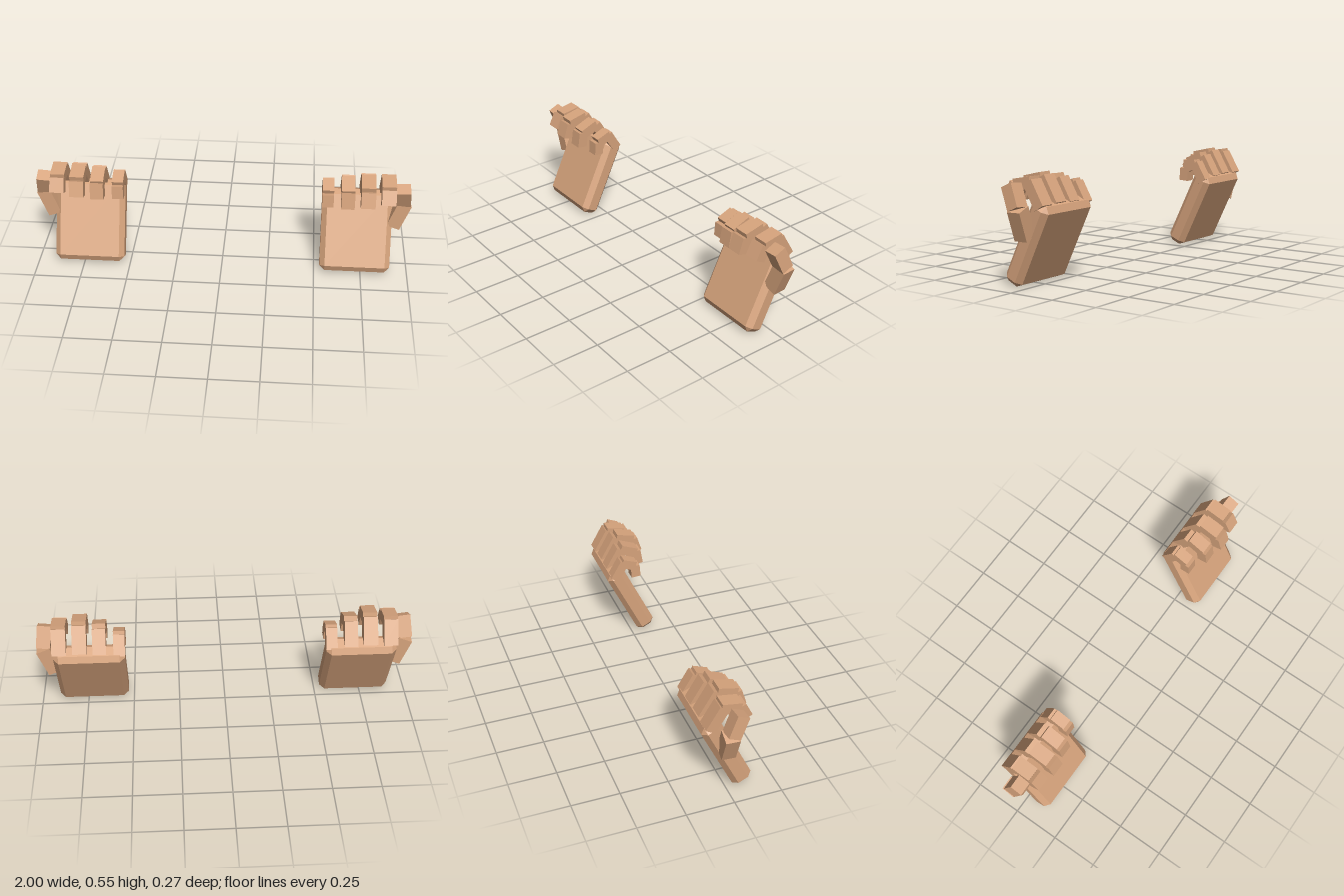
import * as THREE from 'three';
import { ConvexGeometry } from 'three/addons/geometries/ConvexGeometry.js';

const skin = new THREE.MeshStandardMaterial({ color: 0xd6a37c, flatShading: true });

function block(name, size, pos, rot) {
  const m = new THREE.Mesh(new THREE.BoxGeometry(...size), skin);
  m.name = name;
  m.position.set(...pos);
  m.rotation.set(...rot);
  return m;
}

// Box with every edge and corner cut at 45 degrees
function chamferedBox(w, h, d, c) {
  const pts = [];
  for (const x of [-w / 2, w / 2]) for (const y of [-h / 2, h / 2]) for (const z of [-d / 2, d / 2]) {
    const inX = x - Math.sign(x) * c, inY = y - Math.sign(y) * c, inZ = z - Math.sign(z) * c;
    pts.push(new THREE.Vector3(x, inY, inZ), new THREE.Vector3(inX, y, inZ), new THREE.Vector3(inX, inY, z));
  }
  return new ConvexGeometry(pts);
}

// Each finger segment: centre z, centre y, direction z, direction y, length
const fingers = [
  { name: 'indexFinger', x: 0.87, w: 0.075, t: 0.057, parts: [
    [-0.063, 0.458, 0.504, 0.864, 0.139], [0.005, 0.508, 0.986, -0.164, 0.103], [0.07, 0.47, 0.447, -0.894, 0.08]] },
  { name: 'middleFinger', x: 0.763, w: 0.075, t: 0.06, parts: [
    [-0.054, 0.465, 0.504, 0.864, 0.15], [0.029, 0.514, 0.976, -0.218, 0.105], [0.087, 0.465, 0.3, -0.95, 0.085]] },
  { name: 'ringFinger', x: 0.66, w: 0.07, t: 0.057, parts: [
    [-0.06, 0.454, 0.504, 0.864, 0.135], [0.017, 0.494, 0.93, -0.37, 0.1], [0.067, 0.445, 0.16, -0.987, 0.085]] },
  { name: 'littleFinger', x: 0.557, w: 0.06, t: 0.053, parts: [
    [-0.069, 0.434, 0.504, 0.864, 0.115], [-0.014, 0.466, 0.94, -0.35, 0.083], [0.025, 0.418, 0.08, -0.997, 0.072]] },
];

function makeHand(side) {
  const hand = new THREE.Group();
  hand.name = side > 0 ? 'leftHand' : 'rightHand';

  // Palm slab leaning back
  const palm = new THREE.Mesh(chamferedBox(0.374, 0.446, 0.109, 0.027), skin);
  palm.name = 'palm';
  palm.position.set(side * 0.716, 0.2145, 0.0014);
  palm.rotation.x = -0.445;
  hand.add(palm);

  // Curled fingers, three blocks each
  for (const f of fingers) {
    const finger = new THREE.Group();
    finger.name = f.name;
    f.parts.forEach(([z, y, dz, dy, len], i) => {
      finger.add(block(['knuckle', 'middleJoint', 'fingertip'][i], [f.w, len, f.t],
        [side * f.x, y, z], [Math.atan2(dz, dy), 0, 0]));
    });
    hand.add(finger);
  }

  // Thumb: base flares outward, tip bends up and forward
  const thumb = new THREE.Group();
  thumb.name = 'thumb';
  thumb.add(
    block('thumbBase', [0.075, 0.155, 0.072], [side * 0.934, 0.323, -0.015], [0, side * 0.06, side * -0.36]),
    block('thumbTip', [0.073, 0.121, 0.066], [side * 0.952, 0.449, 0.0105], [0.405, 0, side * 0.1]));
  hand.add(thumb);
  return hand;
}

export function createModel() {
  const group = new THREE.Group();
  group.name = 'pairOfHands';
  for (const side of [1, -1]) group.add(makeHand(side));
  return group;
}
